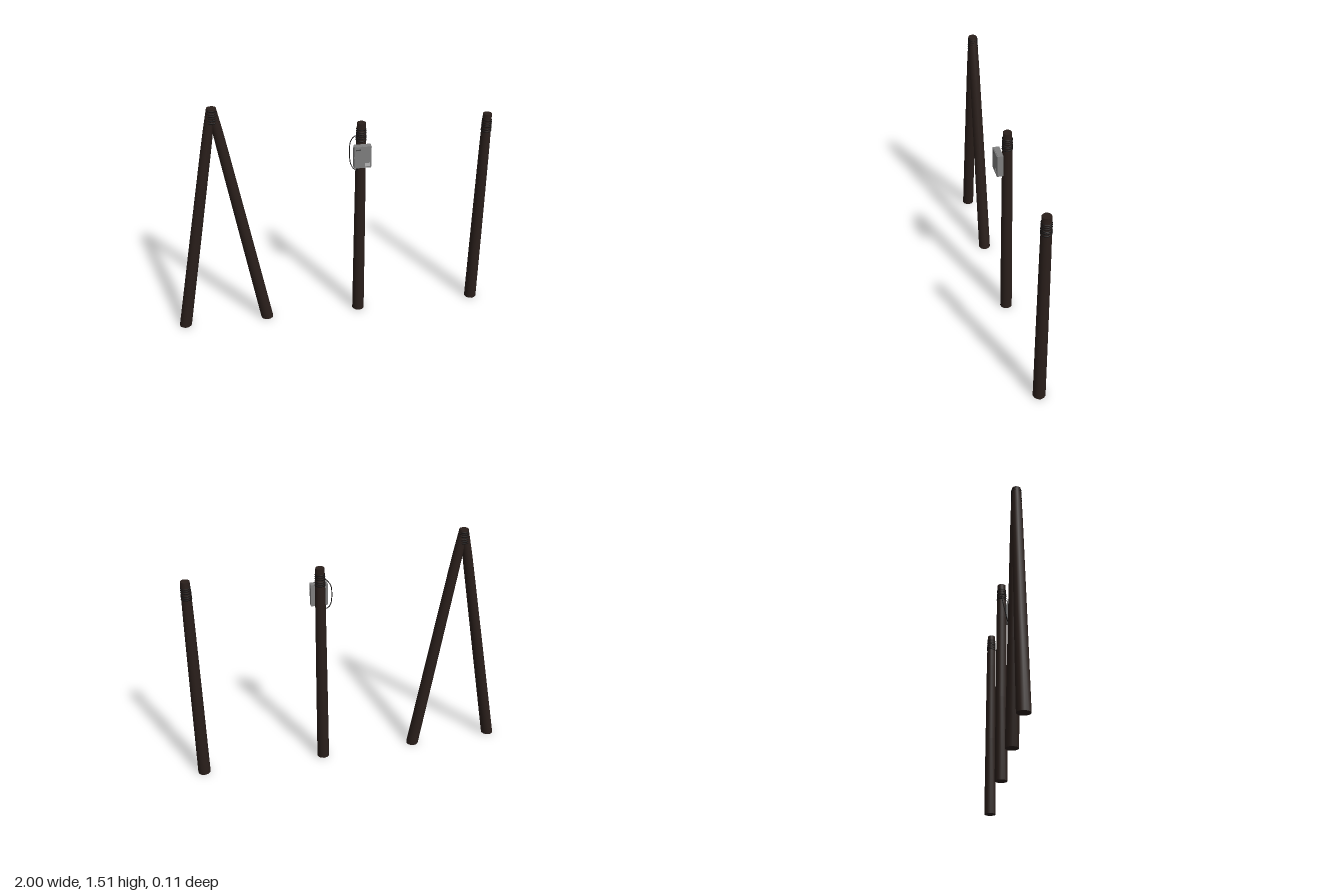
import * as THREE from 'three';
import { toCreasedNormals } from 'three/addons/utils/BufferGeometryUtils.js';

const Z = -0.018; // depth of the pole axes
const material = (color) => new THREE.MeshStandardMaterial({ color });
const wood = material(0x2a1f1b);
const rope = material(0x121010);
const steel = material(0x808080);
const darkSteel = material(0x484848);
const labelGrey = material(0xb8b8b8);

export function createModel() {
  const model = new THREE.Group();

  const add = (parent, name, geometry, mat, x = 0, y = 0, z = 0) => {
    const mesh = new THREE.Mesh(geometry, mat);
    mesh.name = name;
    mesh.position.set(x, y, z);
    parent.add(mesh);
    return mesh;
  };

  // Tapered log with level ends; lean shears the top sideways
  const logGeometry = (height, topRadius, lean = 0) => {
    const profile = [[0, 0], [0.039, 0], [0.036, 0.4], [0.032, 0.82], [0.0305, 0.9], [topRadius, 1], [0, 1]]
      .map(([r, t]) => new THREE.Vector2(r, t * height));
    const geometry = new THREE.LatheGeometry(profile, 12);
    const shear = new THREE.Matrix4().makeShear(0, 0, lean / height, 0, 0, 0);
    shear.set(1, lean / height, 0, 0, 0, 1, 0, 0, 0, 0, 1, 0, 0, 0, 0, 1);
    geometry.applyMatrix4(shear);
    return toCreasedNormals(geometry, 0.8);
  };

  // Stack of slightly tilted rope turns, narrowing towards the top
  const addLashing = (parent, y0, y1, rx0, rx1, rz0, rz1) => {
    const count = 6;
    for (let i = 0; i < count; i++) {
      const t = i / (count - 1);
      const ring = new THREE.TorusGeometry(1, 0.12, 6, 20);
      ring.rotateX(Math.PI / 2);
      const mesh = add(parent, 'ropeTurn', ring, rope, 0, THREE.MathUtils.lerp(y0, y1, t), 0);
      mesh.scale.set(THREE.MathUtils.lerp(rx0, rx1, t), 0.034, THREE.MathUtils.lerp(rz0, rz1, t));
      mesh.rotation.z = 0.07 * Math.sin(i * 2.3);
      mesh.rotation.x = 0.06 * Math.cos(i * 1.7);
    }
  };

  // Two leaning legs tied at the top
  const frame = new THREE.Group();
  frame.name = 'leaningFrame';
  frame.position.set(-0.695, 0, Z);
  model.add(frame);
  for (const side of [-1, 1]) {
    add(frame, side < 0 ? 'rightLeg' : 'leftLeg', logGeometry(1.51, 0.026, -side * 0.264), wood, side * 0.266);
  }
  addLashing(frame, 1.425, 1.495, 0.039, 0.028, 0.029, 0.0275);

  // Two upright posts
  for (const [name, x] of [['middlePost', 0.18], ['leftPost', 0.958]]) {
    const post = new THREE.Group();
    post.name = name;
    post.position.set(x, 0, Z);
    model.add(post);
    add(post, 'postLog', logGeometry(1.35, 0.027), wood);
    addLashing(post, 1.24, 1.31, 0.0295, 0.0275, 0.0295, 0.0275);
  }

  // Metal box on the middle post
  const box = new THREE.Group();
  box.name = 'controlBox';
  box.position.set(0.178, 1.155, 0.036);
  model.add(box);
  add(box, 'boxBody', new THREE.BoxGeometry(0.104, 0.14, 0.034), steel, 0, 0, -0.002);
  add(box, 'boxSeam', new THREE.BoxGeometry(0.1, 0.136, 0.003), darkSteel, 0, 0, 0.0155);
  add(box, 'boxDoor', new THREE.BoxGeometry(0.104, 0.14, 0.004), steel, 0, 0, 0.018);
  add(box, 'lowerLabel', new THREE.BoxGeometry(0.03, 0.022, 0.001), labelGrey, 0.028, -0.049, 0.0203);
  add(box, 'upperLabel', new THREE.BoxGeometry(0.03, 0.008, 0.001), darkSteel, -0.027, 0.05, 0.0203);
  add(box, 'backBracket', new THREE.BoxGeometry(0.035, 0.09, 0.012), darkSteel, 0, 0, -0.022);

  // Cable looping from the lashing round to the underside of the box
  const path = new THREE.CatmullRomCurve3([
    [0.165, 1.275, 0.005], [0.14, 1.265, -0.015], [0.117, 1.23, -0.022], [0.109, 1.17, -0.012],
    [0.112, 1.1, 0.004], [0.125, 1.07, 0.014], [0.143, 1.058, 0.026], [0.15, 1.068, 0.038], [0.15, 1.09, 0.04],
  ].map((p) => new THREE.Vector3(...p)));
  add(model, 'cable', new THREE.TubeGeometry(path, 48, 0.0028, 6), rope);

  return model;
}
